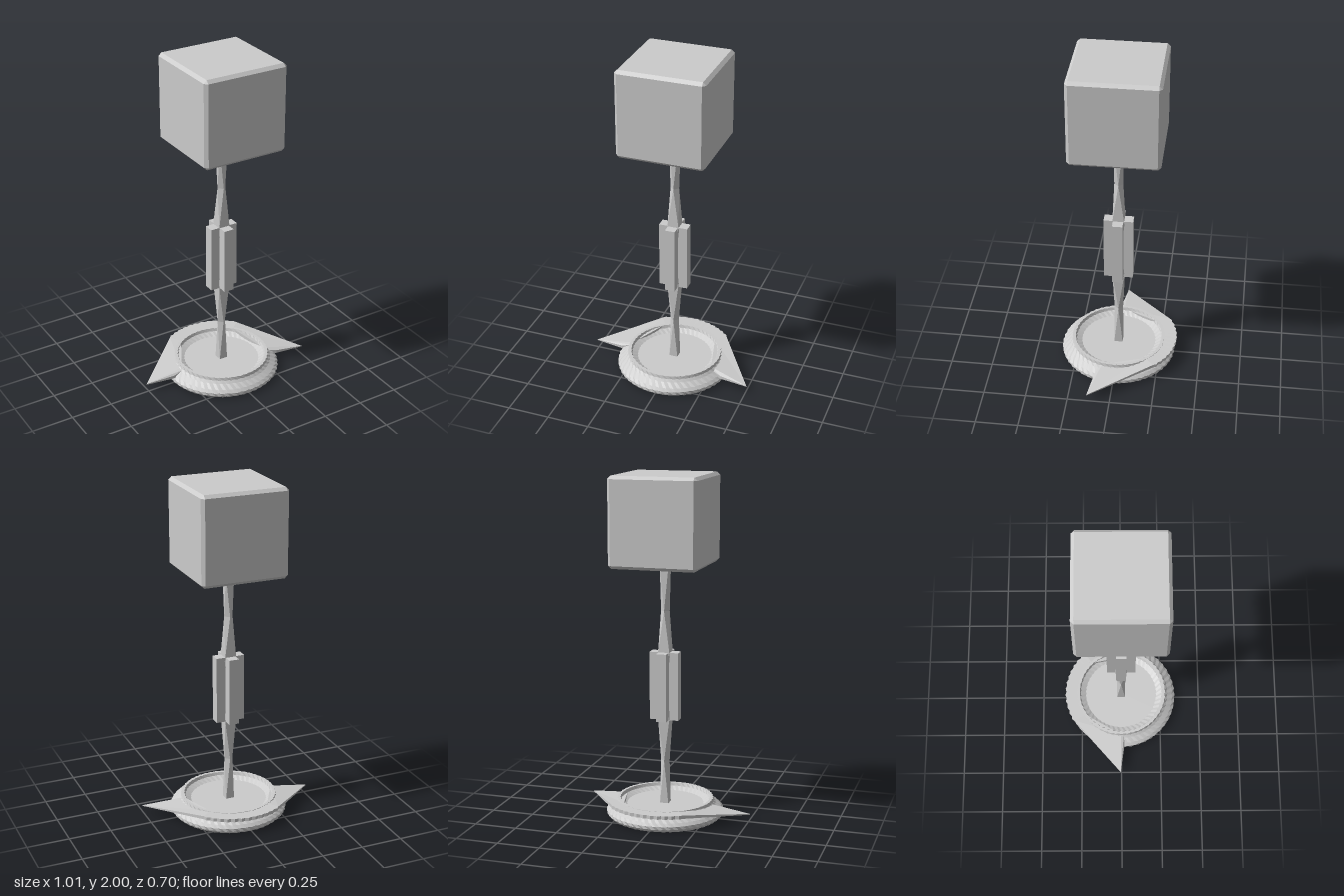
import * as THREE from 'three';
import { ConvexGeometry } from 'three/addons/geometries/ConvexGeometry.js';

const material = new THREE.MeshStandardMaterial({ color: 0xcccccc, flatShading: true, side: THREE.DoubleSide });

function part(name, geometry) {
  const mesh = new THREE.Mesh(geometry, material);
  mesh.name = name;
  return mesh;
}

// Skins a row of equal-sized four-point rings and caps both ends.
function loft(rings) {
  const n = rings[0].length, index = [];
  for (let k = 0; k < rings.length - 1; k++) {
    for (let i = 0; i < n; i++) {
      const a = k * n + i, a2 = k * n + (i + 1) % n;
      index.push(a, a2, a + n, a2, a2 + n, a + n);
    }
  }
  const e = (rings.length - 1) * n;
  index.push(0, 2, 1, 0, 3, 2, e, e + 1, e + 2, e, e + 2, e + 3);
  const g = new THREE.BufferGeometry();
  g.setAttribute('position', new THREE.Float32BufferAttribute(rings.flat(2), 3));
  g.setIndex(index);
  const flat = g.toNonIndexed();
  flat.computeVertexNormals();
  return flat;
}

// Cube with all edges and corners chamfered
function chamferedCube(half, c) {
  const pts = [];
  for (const x of [-1, 1]) for (const y of [-1, 1]) for (const z of [-1, 1]) {
    for (let axis = 0; axis < 3; axis++) {
      const h = [half - c, half - c, half - c];
      h[axis] = half;
      pts.push(new THREE.Vector3(x * h[0], y * h[1], z * h[2]));
    }
  }
  return new ConvexGeometry(pts);
}

// Square post whose section turns an eighth of a turn at every ring
function twistedPost() {
  const rings = [[0.072, 0.036], [0.33, 0.026], [0.58, 0.048], [0.78, 0.048],
    [0.98, 0.048], [1.22, 0.026], [1.475, 0.036]];
  return loft(rings.map(([y, r], k) => [0, 1, 2, 3].map((i) => {
    const a = Math.PI / 4 * (2 * i + k + 1);
    return [r * Math.sin(a), y, r * Math.cos(a)];
  })));
}

// Dish: turned profile with a scalloped, staggered edge
function dish() {
  const profile = [[0, 0], [0.325, 0], [0.342, 0.018], [0.343, 0.036], [0.328, 0.052],
    [0.297, 0.074], [0.284, 0.088], [0.281, 0.106], [0.264, 0.106], [0.258, 0.088],
    [0.225, 0.07], [0, 0.07]];
  const g = new THREE.LatheGeometry(profile.map(([r, y]) => new THREE.Vector2(r, y)), 96);
  const p = g.attributes.position;
  for (let v = 0; v < p.count; v++) {
    const row = v % profile.length, column = Math.floor(v / profile.length);
    const s = 1 + ((row + column) % 2 ? 0.008 : -0.008);
    p.setX(v, p.getX(v) * s);
    p.setZ(v, p.getZ(v) * s);
  }
  g.computeVertexNormals();
  return g;
}

// Raised collar round the back, drawn out into a pointed wing at each side
function collar() {
  const inner = 0.272;
  // outer x, outer z, outer top, outer bottom, inner top, inner bottom
  const stations = [[-0.335, 0.02, 0.062, 0.043, 0.08, 0.045], [-0.51, -0.005, 0.05, 0.045, 0.085, 0.045]];
  for (let i = 0; i <= 24; i++) {
    const a = THREE.MathUtils.degToRad(-32 + 80 * i / 24);
    const r = 0.353 + (i % 2 ? 0.004 : -0.003);
    stations.push([r * Math.sin(a), -r * Math.cos(a), 0.105, 0.085, 0.104, 0.06]);
  }
  stations.push([0.505, 0.135, 0.05, 0.045, 0.085, 0.045], [0.335, 0.11, 0.062, 0.043, 0.08, 0.045]);
  return loft(stations.map(([x, z, top, bottom, innerTop, innerBottom]) => {
    const s = inner / Math.hypot(x, z);
    return [[x * s, innerTop, z * s], [x * s, innerBottom, z * s], [x, bottom, z], [x, top, z]];
  }));
}

export function createModel() {
  const group = new THREE.Group();
  group.name = 'pedestal';
  const x0 = 0.005;

  const head = part('cubeHead', chamferedCube(0.258, 0.018));
  head.position.set(0.008, 1.742, 0);
  group.add(head);

  const post = part('twistedPost', twistedPost());
  post.position.x = x0;
  group.add(post);

  // Four upright ribs round the middle of the post
  const grip = new THREE.Group();
  grip.name = 'ribbedGrip';
  for (let i = 0; i < 4; i++) {
    const a = i * Math.PI / 2;
    const rib = part('gripRib', new THREE.BoxGeometry(0.06, 0.4, 0.06));
    rib.position.set(0.056 * Math.sin(a), 0.78, 0.056 * Math.cos(a));
    rib.rotation.y = a;
    grip.add(rib);
  }
  grip.position.x = x0;
  group.add(grip);

  const base = part('dish', dish());
  base.position.x = x0;
  group.add(base);
  group.add(part('wingedCollar', collar()));
  return group;
}
